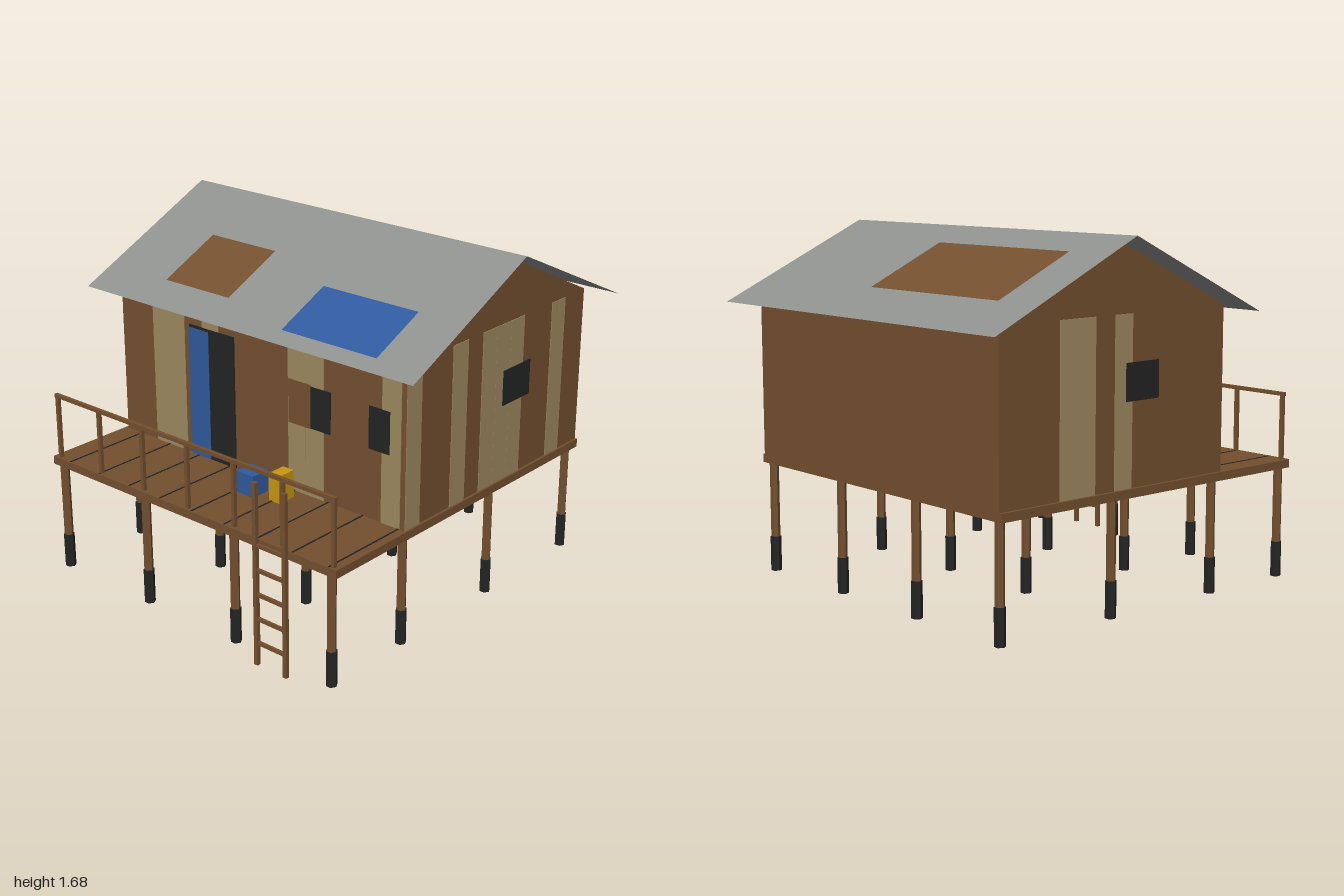
import * as THREE from 'three';

const mat = (name, color, side = THREE.FrontSide) => {
  const m = new THREE.MeshStandardMaterial({ color, side });
  m.name = name;
  return m;
};

export function createModel() {
  const wood = mat('brown wood', 0x74502f);
  const tan = mat('pale plank', 0x9f8a60);
  const tin = mat('grey tin', 0x8f918e, THREE.DoubleSide);
  const blue = mat('blue', 0x2f5a9e);
  const dark = mat('near black', 0x232424);
  const yellow = mat('yellow', 0xc8960f);
  const model = new THREE.Group();
  model.name = 'stiltHut';

  const add = (name, geo, material, x = 0, y = 0, z = 0, parent = model) => {
    const m = new THREE.Mesh(geo, material);
    m.name = name;
    m.position.set(x, y, z);
    parent.add(m);
    return m;
  };
  // Box given by its limits on each axis
  const box = (name, material, [x0, x1], [y0, y1], [z0, z1], parent = model) =>
    add(name, new THREE.BoxGeometry(x1 - x0, y1 - y0, z1 - z0), material,
      (x0 + x1) / 2, (y0 + y1) / 2, (z0 + z1) / 2, parent);
  const group = (name) => {
    const g = new THREE.Group();
    g.name = name;
    model.add(g);
    return g;
  };

  const floor = 0.575, eave = 1.345, front = 0.46, back = -0.88, halfW = 0.872, ridgeZ = -0.213;

  // Stilts with dark feet
  const stilts = group('stilts');
  const hex = (r, h) => new THREE.CylinderGeometry(r, r, h, 6, 1, false, Math.PI / 6).toNonIndexed();
  const postGeo = hex(0.022, 0.54), footGeo = hex(0.026, 0.17);
  postGeo.computeVertexNormals();
  footGeo.computeVertexNormals();
  for (const x of [-0.84, -0.28, 0.277, 0.84]) {
    for (const z of [0.905, 0.432, -0.208, -0.848]) {
      add('stilt', postGeo, wood, x, 0.27, z, stilts);
      add('stiltFoot', footGeo, dark, x, 0.085, z, stilts);
    }
  }

  // Deck with dark gaps between the boards
  box('deck', wood, [-0.888, 0.885], [0.535, floor], [back, 0.93]);
  const gaps = group('deckGaps');
  for (let i = 0; i < 9; i++) {
    const x = -0.773 + i * 0.2015;
    box('deckGap', dark, [x - 0.004, x + 0.004], [floor - 0.002, floor + 0.002], [front, 0.925], gaps);
  }

  // Gabled house body, extruded along x
  const gable = new THREE.Shape([
    [-front, floor], [-back, floor], [-back, eave], [-ridgeZ, 1.663], [-front, eave],
  ].map(([u, v]) => new THREE.Vector2(u, v)));
  const bodyGeo = new THREE.ExtrudeGeometry(gable, { depth: halfW * 2, bevelEnabled: false });
  add('houseWalls', bodyGeo, wood, -halfW).rotation.y = Math.PI / 2;

  // Thin plates laid on the front and side walls
  const frontPlate = (name, m, xs, ys, out) =>
    box(name, m, xs, ys, [front - 0.001, front + out]);
  const sidePlate = (name, m, side, zs, ys, out) => {
    const xs = [halfW - 0.001, halfW + out];
    return box(name, m, side > 0 ? xs : [-xs[1], -xs[0]], ys, zs);
  };
  const full = [floor, eave - 0.003];
  for (const xs of [[-0.66, -0.45], [-0.335, -0.23], [0.2, 0.305], [0.306, 0.41], [0.74, 0.845]]) {
    frontPlate('frontPalePlank', tan, xs, full, 0.003);
  }
  for (const zs of [[0.36, front], [0.035, 0.143], [-0.18, -0.075], [-0.286, -0.181], [-0.39, -0.287], [-0.72, -0.612]]) {
    sidePlate('leftPalePlank', tan, 1, zs, full, 0.003);
  }
  for (const zs of [[-0.545, -0.34], [-0.225, -0.12]]) {
    sidePlate('rightPalePlank', tan, -1, zs, full, 0.003);
  }
  frontPlate('doorway', dark, [-0.415, -0.13], [floor, 1.228], 0.006);
  frontPlate('doorCurtain', blue, [-0.417, -0.29], [floor, 1.215], 0.0085);
  frontPlate('frontWindow', dark, [0.335, 0.45], [0.91, 1.11], 0.006);
  frontPlate('windowShutter', wood, [0.207, 0.336], [0.908, 1.117], 0.0085);
  frontPlate('frontWindow', dark, [0.67, 0.785], [0.91, 1.11], 0.006);
  sidePlate('leftWindow', dark, 1, [-0.445, -0.237], [0.945, 1.115], 0.006);
  sidePlate('rightWindow', dark, -1, [-0.16, 0.04], [0.96, 1.13], 0.006);

  // Thin roof sheets and patches; d is the level distance from the ridge
  const slope = 0.467, angle = Math.atan(slope);
  const sheet = (name, m, side, [x0, x1], [d0, d1], lift) => {
    const geo = new THREE.PlaneGeometry(x1 - x0, (d1 - d0) / Math.cos(angle));
    geo.rotateX(-Math.PI / 2);
    const d = (d0 + d1) / 2;
    add(name, geo, m, (x0 + x1) / 2, 1.682 - d * slope + lift, ridgeZ + side * d).rotation.x = side * angle;
  };
  for (const side of [1, -1]) {
    sheet(side > 0 ? 'frontRoof' : 'backRoof', tin, side, [-0.988, 0.988], [0, 0.786], 0);
  }
  sheet('frontRoofRustPatch', wood, 1, [-0.605, -0.2], [0.315, 0.633], 0.005);
  sheet('roofTarp', blue, 1, [0.2, 0.738], [0.433, 0.715], 0.005);
  sheet('backRoofRustPatch', wood, -1, [-0.743, 0.135], [0.162, 0.557], 0.005);

  // Railing along the front edge
  const railing = group('railing');
  box('topRail', wood, [-0.868, 0.868], [0.879, 0.896], [0.9, 0.918], railing);
  for (let i = 0; i < 7; i++) {
    const x = -0.855 + i * 0.285;
    box('railPost', wood, [x - 0.009, x + 0.009], [floor, 0.885], [0.9, 0.918], railing);
  }

  // Ladder
  const ladder = group('ladder');
  for (const x of [0.484, 0.652]) {
    box('ladderRail', wood, [x - 0.01, x + 0.01], [0, 0.876], [0.978, 0.998], ladder);
  }
  for (let i = 0; i < 5; i++) {
    const y = 0.11 + i * 0.1185;
    box('ladderRung', wood, [0.49, 0.646], [y - 0.008, y + 0.008], [0.981, 0.995], ladder);
  }

  // Goods on the deck
  box('blueCrate', blue, [0.048, 0.15], [floor, 0.68], [0.545, 0.646]);
  box('yellowCan', yellow, [0.217, 0.28], [floor, 0.708], [0.517, 0.615]);

  return model;
}
